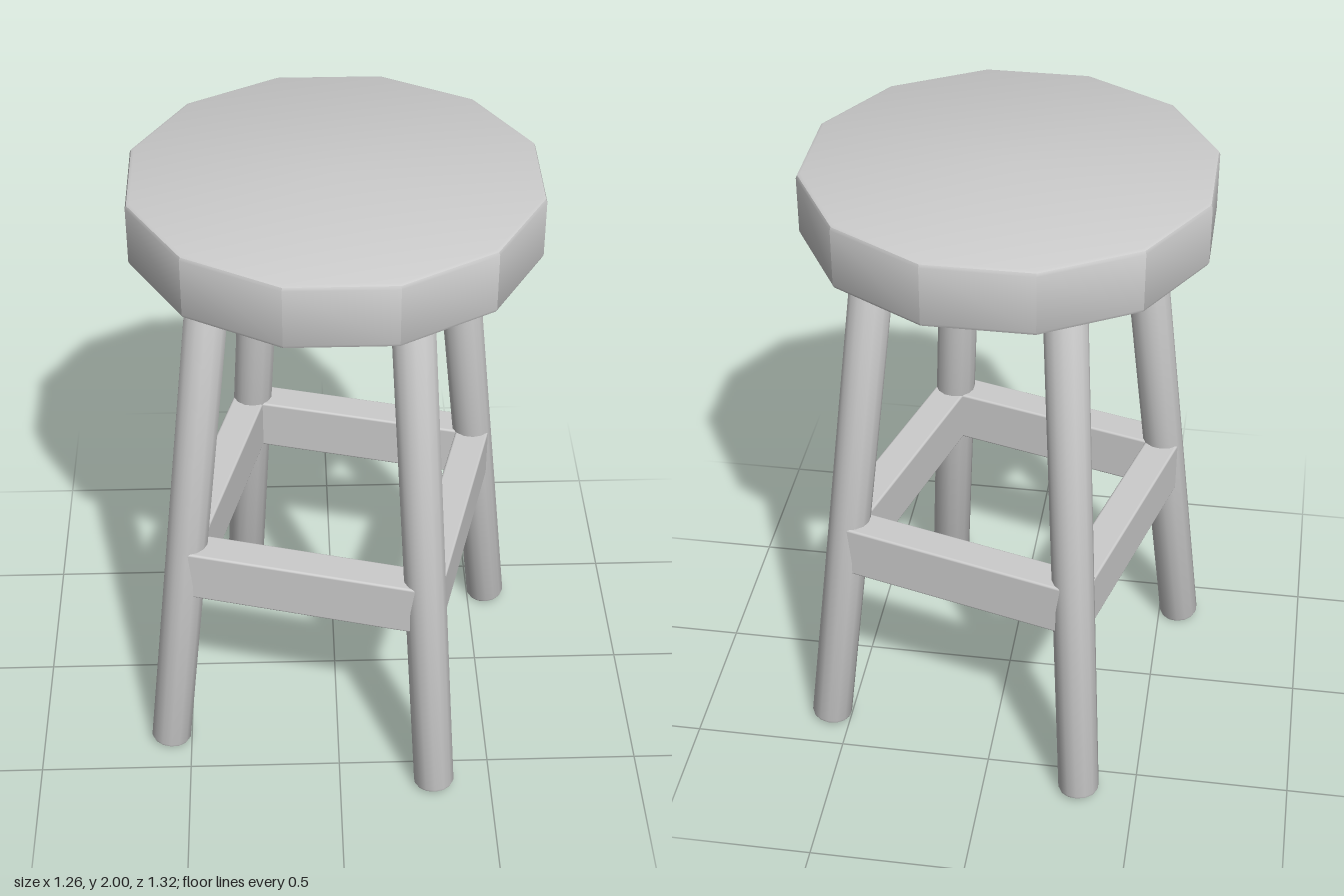
import * as THREE from 'three';
import { toCreasedNormals } from 'three/addons/utils/BufferGeometryUtils.js';
import { RoundedBoxGeometry } from 'three/addons/geometries/RoundedBoxGeometry.js';

const LEG_RADIUS = 0.067;
const SEAT_BOTTOM = 1.79;
const RAIL_Y = 0.73;

// Solid turned about y, with a small bevel on both rims
function bevelledDisc(radius, y0, y1, bevel, sides, phase = 0) {
  const profile = [
    [0, y0], [radius - bevel, y0], [radius - bevel * 0.3, y0 + bevel * 0.3], [radius, y0 + bevel],
    [radius, y1 - bevel], [radius - bevel * 0.3, y1 - bevel * 0.3], [radius - bevel, y1], [0, y1],
  ].map(([x, y]) => new THREE.Vector2(x, y));
  return new THREE.LatheGeometry(profile, sides, phase);
}

export function createModel() {
  const group = new THREE.Group();
  const material = new THREE.MeshStandardMaterial({ color: 0xcccccc });

  function add(name, geometry) {
    const mesh = new THREE.Mesh(geometry, material);
    mesh.name = name;
    group.add(mesh);
    return mesh;
  }

  // Twelve-sided seat with a flat side towards each axis
  const seat = bevelledDisc(0.642, SEAT_BOTTOM, 2, 0.014, 12, Math.PI / 12);
  add('seat', toCreasedNormals(seat, 0.45));

  // Four splayed legs, listed around the stool: foot and where it meets the seat
  const legs = [
    { name: 'frontLeg', foot: [0.313, 0.595], head: [0.214, 0.388] },
    { name: 'leftLeg', foot: [0.567, -0.357], head: [0.378, -0.222] },
    { name: 'backLeg', foot: [-0.317, -0.593], head: [-0.219, -0.387] },
    { name: 'rightLeg', foot: [-0.57, 0.357], head: [-0.38, 0.222] },
  ].map(({ name, foot, head }) => ({
    name,
    foot: new THREE.Vector3(foot[0], 0.008, foot[1]),
    head: new THREE.Vector3(head[0], SEAT_BOTTOM, head[1]),
  }));

  const up = new THREE.Vector3(0, 1, 0);
  for (const { name, foot, head } of legs) {
    const axis = head.clone().sub(foot);
    const length = axis.length() + 0.05; // runs a little way into the seat
    const geometry = toCreasedNormals(bevelledDisc(LEG_RADIUS, 0, length, 0.012, 14), 0.6);
    const leg = add(name, geometry);
    leg.position.copy(foot);
    leg.quaternion.setFromUnitVectors(up, axis.normalize());
  }

  // Stretcher rails joining neighbouring legs in a square
  const joints = legs.map(({ foot, head }) =>
    foot.clone().lerp(head, (RAIL_Y - foot.y) / (head.y - foot.y)));
  joints.forEach((start, i) => {
    const end = joints[(i + 1) % joints.length];
    const span = end.clone().sub(start);
    const rail = add('stretcher' + (i + 1),
      new RoundedBoxGeometry(span.length() + 0.02, 0.18, 0.11, 2, 0.008));
    rail.position.copy(start).add(end).multiplyScalar(0.5);
    rail.rotation.y = Math.atan2(-span.z, span.x);
  });

  return group;
}
